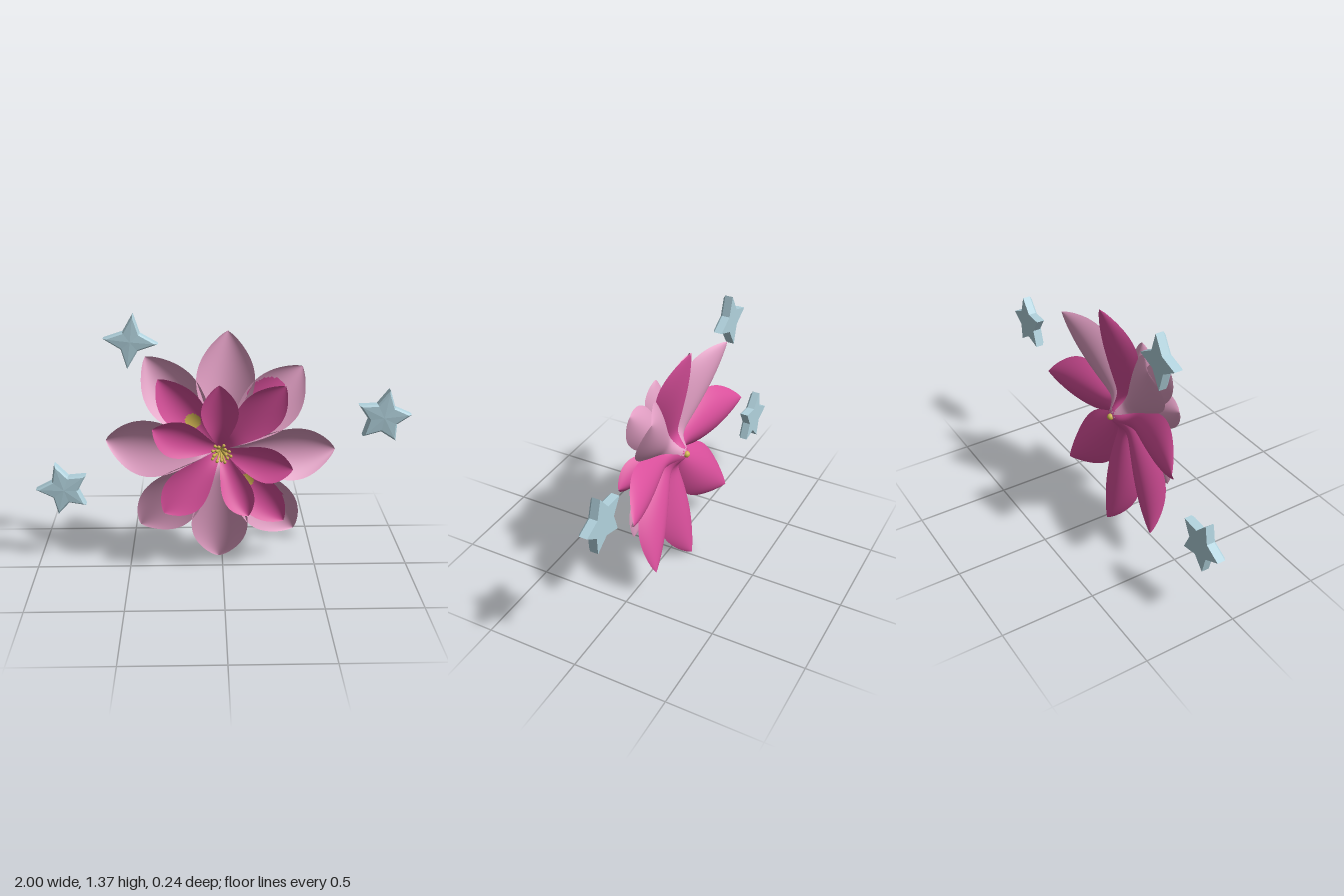
import * as THREE from 'three';

const mat = (name, color) => {
  const m = new THREE.MeshStandardMaterial({ color });
  m.name = name;
  return m;
};

const CX = -0.01, CY = 0.66; // flower centre

// One face of a cupped petal; triangles inside the spot circle use the second material group
function petalFace(p, back) {
  const NU = 46, NV = 24, pos = [], plain = [], spotted = [];
  const dx = p.tip[0] - CX, dy = p.tip[1] - CY, L = Math.hypot(dx, dy);
  const ux = dx / L, uy = dy / L;
  for (let i = 0; i <= NU; i++) {
    const t = i / NU, r = 0.008 + t * (L - 0.008);
    const f = Math.pow(Math.max(0, Math.sin(Math.PI * Math.pow(t, 1.5))), 0.78);
    const half = p.width / 2 * f + 0.014 * (1 - t);
    // the base dips back towards the stalk
    const spine = p.z0 + (p.tip[2] - p.z0) * Math.pow(t, p.bend) - p.dip * Math.exp(-((r / 0.07) ** 2));
    for (let j = 0; j <= NV; j++) {
      const v = j / NV * 2 - 1;
      const z = spine + p.cup * f * Math.pow(Math.abs(v), 2) - (back ? 0.011 * f * (1 - v * v) + 0.001 : 0);
      pos.push(CX + ux * r - uy * half * v, CY + uy * r + ux * half * v, z);
    }
  }
  const add = (a, b, c) => {
    const x = (pos[a * 3] + pos[b * 3] + pos[c * 3]) / 3;
    const y = (pos[a * 3 + 1] + pos[b * 3 + 1] + pos[c * 3 + 1]) / 3;
    const inSpot = !back && p.spot && Math.hypot(x - p.spot[0], y - p.spot[1]) < p.spot[2];
    (inSpot ? spotted : plain).push(...(back ? [a, c, b] : [a, b, c]));
  };
  for (let i = 0; i < NU; i++) for (let j = 0; j < NV; j++) {
    const a = i * (NV + 1) + j, b = a + NV + 1;
    add(a, b, b + 1);
    add(a, b + 1, a + 1);
  }
  const g = new THREE.BufferGeometry();
  g.setAttribute('position', new THREE.Float32BufferAttribute(pos, 3));
  g.setIndex([...plain, ...spotted]);
  g.addGroup(0, plain.length, 0);
  if (spotted.length) g.addGroup(plain.length, spotted.length, 1);
  g.computeVertexNormals();
  return g;
}

function petal(name, p, front, back, spot) {
  const g = new THREE.Group();
  g.name = name;
  const f = new THREE.Mesh(petalFace(p, false), [front, spot]);
  const b = new THREE.Mesh(petalFace(p, true), [back, spot]);
  f.name = 'petalFront';
  b.name = 'petalBack';
  g.add(f, b);
  return g;
}

// Solid star with a chamfered, slightly raised front, from its tips in counter-clockwise order
function starGeometry(tips, inset) {
  const n = tips.length;
  const cx = tips.reduce((s, q) => s + q[0], 0) / n, cy = tips.reduce((s, q) => s + q[1], 0) / n;
  const outline = [];
  tips.forEach((q, i) => {
    const w = tips[(i + 1) % n];
    outline.push(q, [cx + ((q[0] + w[0]) / 2 - cx) * inset, cy + ((q[1] + w[1]) / 2 - cy) * inset]);
  });
  const ring = (s, z) => outline.map(q => [cx + (q[0] - cx) * s, cy + (q[1] - cy) * s, z]);
  const rings = [ring(1, -0.118), ring(1, -0.076), ring(0.88, -0.066)];
  const pos = [], m = outline.length;
  for (let i = 0; i < m; i++) {
    const k = (i + 1) % m;
    for (let r = 0; r < 2; r++) {
      const a = rings[r][i], b = rings[r][k], c = rings[r + 1][k], d = rings[r + 1][i];
      pos.push(...a, ...b, ...c, ...a, ...c, ...d);
    }
    pos.push(cx, cy, -0.062, ...rings[2][i], ...rings[2][k]);
    pos.push(cx, cy, -0.118, ...rings[0][k], ...rings[0][i]);
  }
  const g = new THREE.BufferGeometry();
  g.setAttribute('position', new THREE.Float32BufferAttribute(pos, 3));
  g.computeVertexNormals();
  return g;
}

export function createModel() {
  const model = new THREE.Group();
  model.name = 'flowerWithStars';
  const pale = mat('pale pink', 0xe29fc4);
  const deep = mat('deep pink', 0xd94f9b);
  const yellow = mat('pollen yellow', 0xd0b452);
  const blue = mat('dusty blue', 0xb2d3de);

  // Outer ring: tip x, tip y, width, back colour, spot
  const outer = [
    [0.03, 1.28, 0.29, deep], [0.42, 1.09, 0.29, pale, [0.23, 0.94, 0.11]],
    [0.605, 0.63, 0.28, deep], [0.39, 0.17, 0.28, deep, [0.25, 0.38, 0.075]],
    [-0.02, 0.005, 0.29, deep], [-0.445, 0.2, 0.29, deep],
    [-0.62, 0.69, 0.3, deep], [-0.4, 1.145, 0.28, pale],
  ];
  for (const [x, y, width, back, spot] of outer) {
    model.add(petal('outerPetal', { tip: [x, y, -0.12], width, z0: 0.005, bend: 0.9, cup: 0.075, dip: 0.09, spot }, pale, back, deep));
  }

  // Inner ring: tip x, y, z, width, back colour, spot
  const inner = [
    [-0.33, 1.07, 0.05, 0.2, pale, [-0.155, 0.837, 0.042]], [0.32, 1.03, 0.055, 0.21, pale],
    [0.32, 0.29, 0.05, 0.2, pale, [0.13, 0.51, 0.034]], [-0.31, 0.35, 0.075, 0.22, pale],
    [-0.02, 1.05, 0.1, 0.18, pale], [0.36, 0.6, 0.11, 0.18, deep],
    [0.13, 0.34, 0.105, 0.15, deep], [-0.36, 0.82, 0.1, 0.19, pale],
  ];
  for (const [x, y, z, width, back, spot] of inner) {
    model.add(petal('innerPetal', { tip: [x, y, z], width, z0: -0.02, bend: 0.9, cup: 0.045, dip: 0.02, spot }, deep, back, yellow));
  }

  // Flower core, just reaching through to the back
  const core = new THREE.Mesh(new THREE.SphereGeometry(0.018, 16, 12), yellow);
  core.name = 'core';
  core.position.set(CX, CY, -0.087);
  model.add(core);

  // Stamens: leaning filaments with small anthers
  const stamens = new THREE.Group();
  stamens.name = 'stamens';
  for (let i = 0; i < 15; i++) {
    const a = i * 2.4, r = 0.018 + 0.036 * Math.sqrt((i + 0.5) / 15);
    const end = new THREE.Vector3(CX + r * Math.cos(a), CY + 0.008 + r * Math.sin(a), 0.072 - r * 0.3);
    const start = new THREE.Vector3(CX, CY, -0.035);
    const stem = new THREE.Mesh(new THREE.TubeGeometry(new THREE.LineCurve3(start, end), 1, 0.0055, 6), yellow);
    stem.name = 'filament';
    const anther = new THREE.Mesh(new THREE.SphereGeometry(0.009, 8, 6), yellow);
    anther.name = 'anther';
    anther.position.copy(end);
    stamens.add(stem, anther);
  }
  model.add(stamens);

  // Stars around the flower
  const stars = [
    [[[-0.455, 1.375], [-0.61, 1.25], [-0.49, 1.09], [-0.33, 1.22]], 0.62],
    [[[0.88, 0.967], [0.72, 0.885], [0.745, 0.715], [0.92, 0.69], [1, 0.832]], 0.66],
    [[[-0.895, 0.57], [-1, 0.425], [-0.885, 0.285], [-0.735, 0.335], [-0.73, 0.505]], 0.64],
  ];
  for (const [tips, inset] of stars) {
    const star = new THREE.Mesh(starGeometry(tips, inset), blue);
    star.name = 'star';
    model.add(star);
  }
  return model;
}
